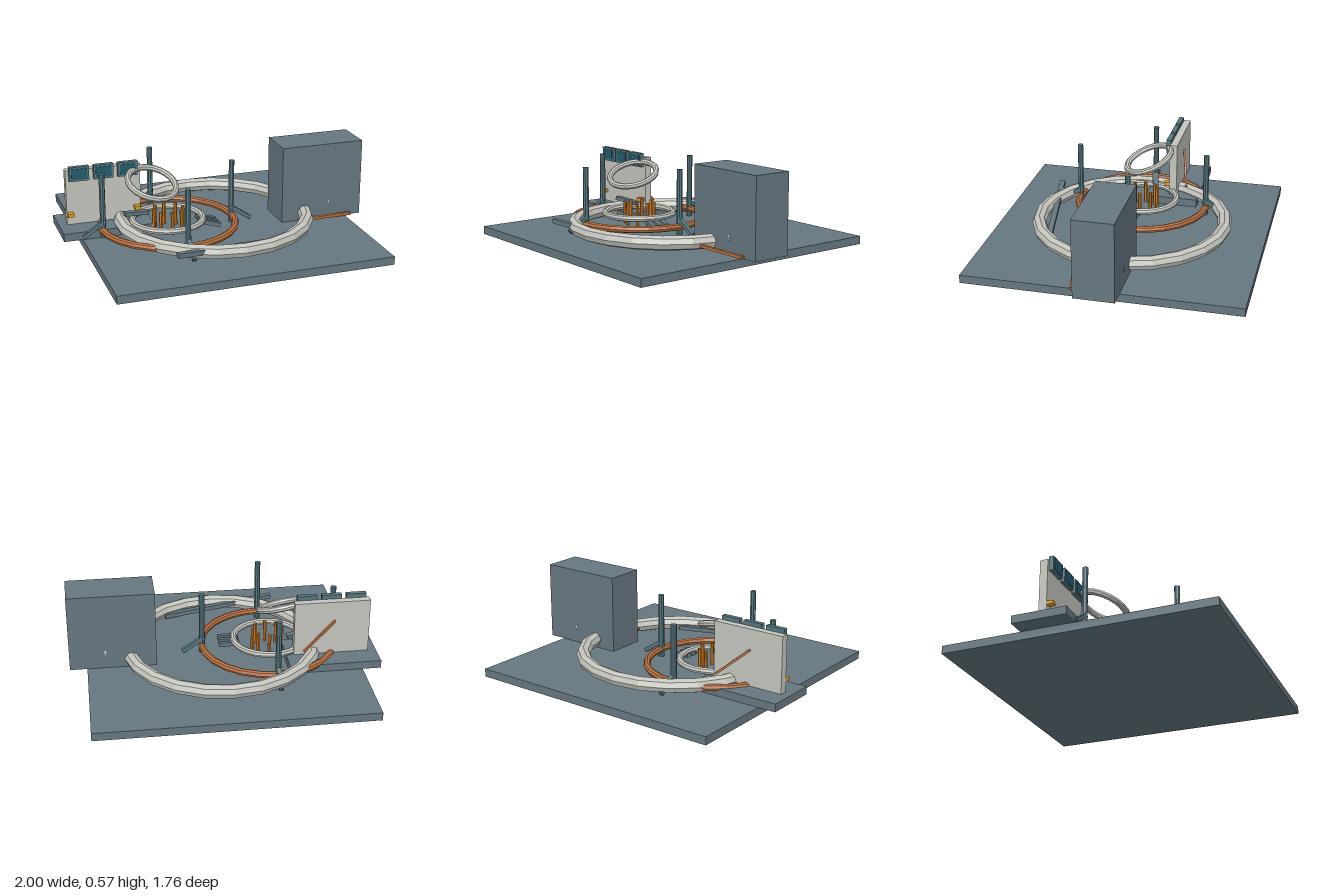
import * as THREE from 'three';

const paint = (color) => new THREE.MeshStandardMaterial({ color, flatShading: true });
const slate = paint(0x667780);
const pale = paint(0xc4c6be);
const copper = paint(0xb87040);
const amber = paint(0xcc7a22);
const steel = paint(0x567880);
const glass = paint(0x235c6c);
const yellow = paint(0xe0a020);

const V = (x, y, z) => new THREE.Vector3(x, y, z);

export function createModel() {
  const model = new THREE.Group();

  const add = (name, geometry, material, x = 0, y = 0, z = 0) => {
    const mesh = new THREE.Mesh(geometry, material);
    mesh.name = name;
    mesh.position.set(x, y, z);
    model.add(mesh);
    return mesh;
  };

  // box given by its lowest and highest corners
  const block = (name, material, x0, x1, y0, y1, z0, z1) =>
    add(name, new THREE.BoxGeometry(x1 - x0, y1 - y0, z1 - z0), material,
      (x0 + x1) / 2, (y0 + y1) / 2, (z0 + z1) / 2);

  // ring around the given axis
  const ring = (name, material, radius, tube, segments, center, axis = V(0, 1, 0)) => {
    const geometry = new THREE.TorusGeometry(radius, tube, 8, segments);
    geometry.rotateZ(Math.PI / 2).rotateX(-Math.PI / 2);
    const mesh = add(name, geometry, material, ...center);
    mesh.quaternion.setFromUnitVectors(V(0, 1, 0), axis.normalize());
    return mesh;
  };

  // straight bar between two points
  const bar = (name, material, from, to, width, height) => {
    const geometry = new THREE.BoxGeometry(width, height, from.distanceTo(to));
    const middle = from.clone().lerp(to, 0.5);
    const mesh = add(name, geometry, material, middle.x, middle.y, middle.z);
    mesh.lookAt(to);
    return mesh;
  };

  // floor plate and cabinet
  block('basePlate', slate, -0.88, 0.885, 0, 0.053, -0.885, 0.88);
  block('cabinet', slate, 0.435, 0.997, 0.053, 0.567, -0.13, 0.13);
  const marker = add('cabinetMarker', new THREE.CylinderGeometry(0.02, 0.02, 0.264, 3), pale, 0.765, 0.165, 0);
  marker.rotation.x = Math.PI / 2;
  marker.scale.set(0.5, 1, 1.3);

  // rings
  ring('largeRing', pale, 0.613, 0.046, 22, [0, 0.11, 0]);
  ring('copperRing', copper, 0.438, 0.023, 24, [-0.31, 0.103, 0]);
  ring('middleRing', pale, 0.23, 0.022, 24, [-0.315, 0.13, 0]);
  ring('tiltedRing', pale, 0.161, 0.021, 20, [-0.41, 0.378, -0.02], V(0.17, 0.92, 0.355));

  // four posts with sloping outward feet
  for (let i = 0; i < 4; i++) {
    const a = (i * Math.PI) / 2;
    const at = (r, y) => V(-0.31 + r * Math.cos(a), y, r * Math.sin(a));
    const p = at(0.435, 0.267);
    add('post', new THREE.CylinderGeometry(0.019, 0.019, 0.427, 8), steel, p.x, p.y, p.z);
    bar('postFoot', steel, at(0.42, 0.165), at(0.565, 0.068), 0.026, 0.026);
  }

  // circle of upright pins in the middle
  for (let i = 0; i < 8; i++) {
    const a = (i * Math.PI) / 4;
    add('pin', new THREE.CylinderGeometry(0.012, 0.012, 0.15, 6), amber,
      -0.31 + 0.098 * Math.cos(a), 0.13, 0.098 * Math.sin(a));
  }

  // control console
  block('consoleFoot', slate, -1, -0.403, 0.053, 0.105, -0.355, 0);
  block('consolePanel', pale, -0.945, -0.452, 0.105, 0.472, -0.207, -0.156);
  for (const x of [-0.86, -0.7, -0.54]) {
    block('screenFrame', steel, x - 0.065, x + 0.065, 0.405, 0.5, -0.16, -0.128);
    block('screen', glass, x - 0.052, x + 0.052, 0.417, 0.488, -0.135, -0.124);
  }
  for (const x of [-0.925, -0.48])
    block('indicator', yellow, x - 0.02, x + 0.02, 0.168, 0.19, -0.158, -0.115);

  // loose bars
  bar('longPlank', slate, V(-0.43, 0.13, 0.605), V(0.33, 0.085, 0.475), 0.035, 0.03);
  bar('frontRod', copper, V(0.51, 0.1, 0.233), V(0.917, 0.07, 0.155), 0.024, 0.018);
  bar('rearRod', copper, V(-0.72, 0.34, -0.208), V(-0.505, 0.155, -0.265), 0.014, 0.014);
  bar('shortBar', slate, V(-0.6, 0.185, -0.025), V(-0.43, 0.165, -0.065), 0.04, 0.025);
  for (let i = 0; i < 3; i++) {
    const z = -0.02 + i * 0.052;
    bar('smallBar', slate, V(-0.12, 0.115, z), V(0.008, 0.09, z + 0.035), 0.027, 0.027);
  }

  return model;
}
